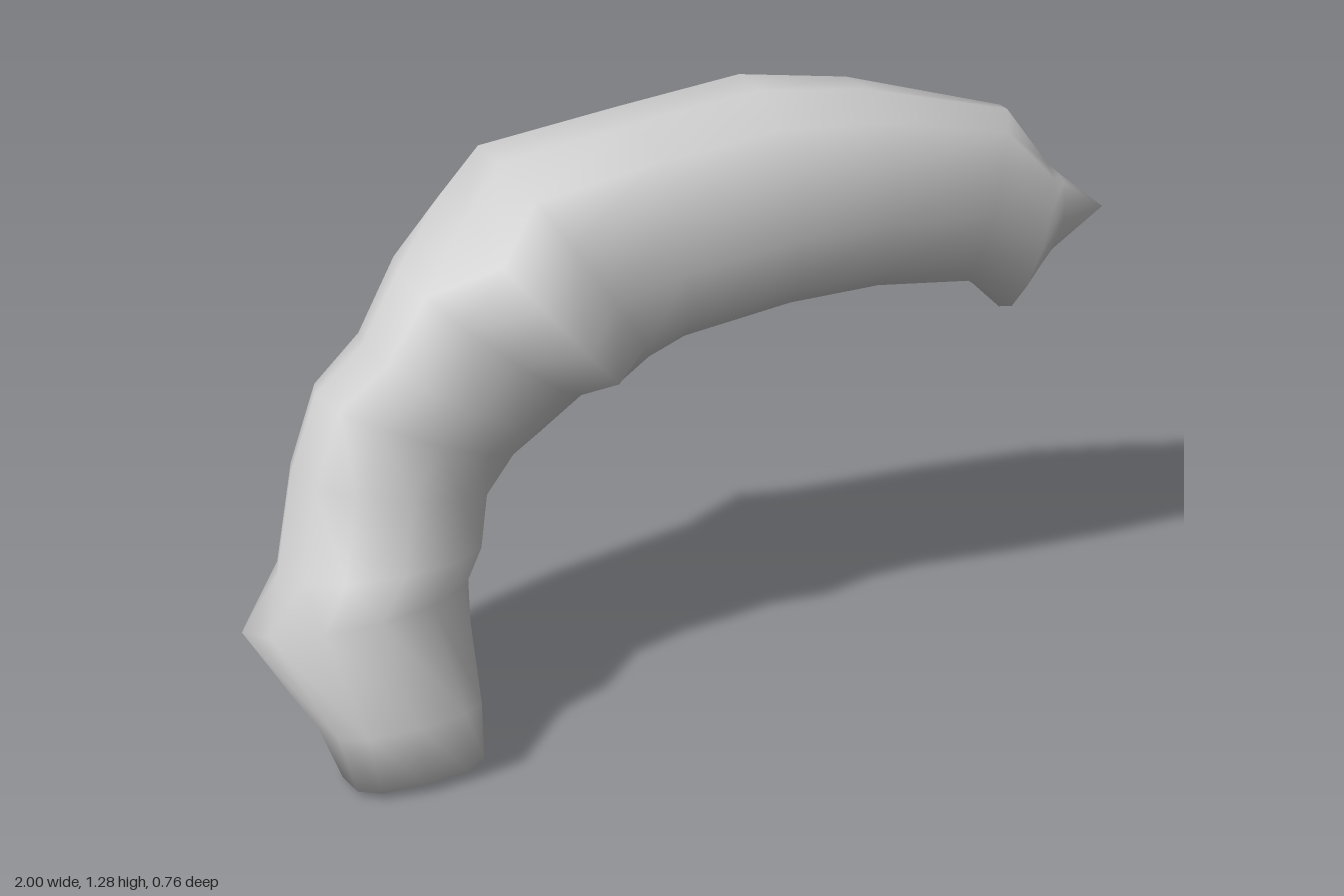
import * as THREE from 'three';

const SIDES = 12;

// Cross-sections from the low end to the high end:
// outer edge x, y | inner edge x, y | centre z | half-depth vector x, y, z | roundness (below 1 is squarer)
const SECTIONS = [
  [-0.85, 0.012, -0.545, 0.03, 0.26, 0, 0, 0.105, 0.7],
  [-0.88, 0.1, -0.54, 0.12, 0.2, 0, 0.06, 0.18, 0.7],
  [-1.0, 0.29, -0.505, 0.33, 0.07, 0, 0.07, 0.22, 1.1],
  [-0.91, 0.39, -0.47, 0.4, 0.035, 0, 0.06, 0.215, 0.9],
  [-0.85, 0.58, -0.43, 0.48, -0.04, 0, 0.04, 0.195, 0.88],
  [-0.78, 0.74, -0.36, 0.55, -0.07, 0, 0.03, 0.2, 0.88],
  [-0.67, 0.83, -0.3, 0.59, -0.085, 0, 0.02, 0.21, 0.88],
  [-0.58, 0.98, -0.2, 0.66, -0.1, 0, 0, 0.215, 0.88],
  [-0.43, 1.05, -0.14, 0.7, -0.13, 0.05, -0.06, 0.25, 0.88],
  [-0.35, 1.18, -0.07, 0.735, -0.115, 0.04, -0.04, 0.22, 0.85],
  [-0.05, 1.23, 0.02, 0.775, -0.105, 0, -0.04, 0.21, 0.82],
  [0.22, 1.28, 0.25, 0.83, -0.07, 0, -0.04, 0.21, 0.82],
  [0.46, 1.26, 0.45, 0.84, -0.045, 0, -0.03, 0.19, 0.82],
  [0.79, 1.18, 0.7, 0.8, -0.02, -0.06, 0, 0.15, 0.85],
  [0.87, 1.06, 0.77, 0.73, 0.03, 0, 0, 0.09, 0.9],
  [0.89, 1.04, 0.87, 0.86, 0.05, 0, 0, 0.05, 1],
];
const LOW_TIP = [-0.69, 0, 0.26];
const HIGH_TIP = [1, 0.95, 0.06];

// Circle or squared circle, depending on the power
const squared = (v, power) => Math.sign(v) * Math.abs(v) ** power;

// Loft squared rings through the sections and close both ends on a tip
function loft(sections, startTip, endTip) {
  const pos = [];
  const index = [];
  for (const [ox, oy, ix, iy, cz, vx, vy, vz, power] of sections) {
    for (let j = 0; j < SIDES; j++) {
      const a = (j / SIDES) * Math.PI * 2;
      const c = squared(Math.cos(a), power);
      const s = squared(Math.sin(a), power);
      pos.push(
        (ox + ix) / 2 + ((ox - ix) / 2) * c + vx * s,
        (oy + iy) / 2 + ((oy - iy) / 2) * c + vy * s,
        cz + vz * s
      );
    }
  }
  const start = sections.length * SIDES;
  const last = start - SIDES;
  pos.push(...startTip, ...endTip);
  for (let j = 0; j < SIDES; j++) {
    const k = (j + 1) % SIDES;
    for (let r = 0; r < last; r += SIDES) {
      index.push(r + j, r + k, r + SIDES + j);
      index.push(r + k, r + SIDES + k, r + SIDES + j);
    }
    index.push(start, k, j);
    index.push(start + 1, last + j, last + k);
  }
  const geo = new THREE.BufferGeometry();
  geo.setAttribute('position', new THREE.Float32BufferAttribute(pos, 3));
  geo.setIndex(index);
  geo.computeVertexNormals();
  return geo;
}

export function createModel() {
  const group = new THREE.Group();
  group.name = 'curvedSausage';
  const body = new THREE.Mesh(
    loft(SECTIONS, LOW_TIP, HIGH_TIP),
    new THREE.MeshStandardMaterial({ color: 0xcccccc })
  );
  body.name = 'body';
  group.add(body);
  return group;
}
